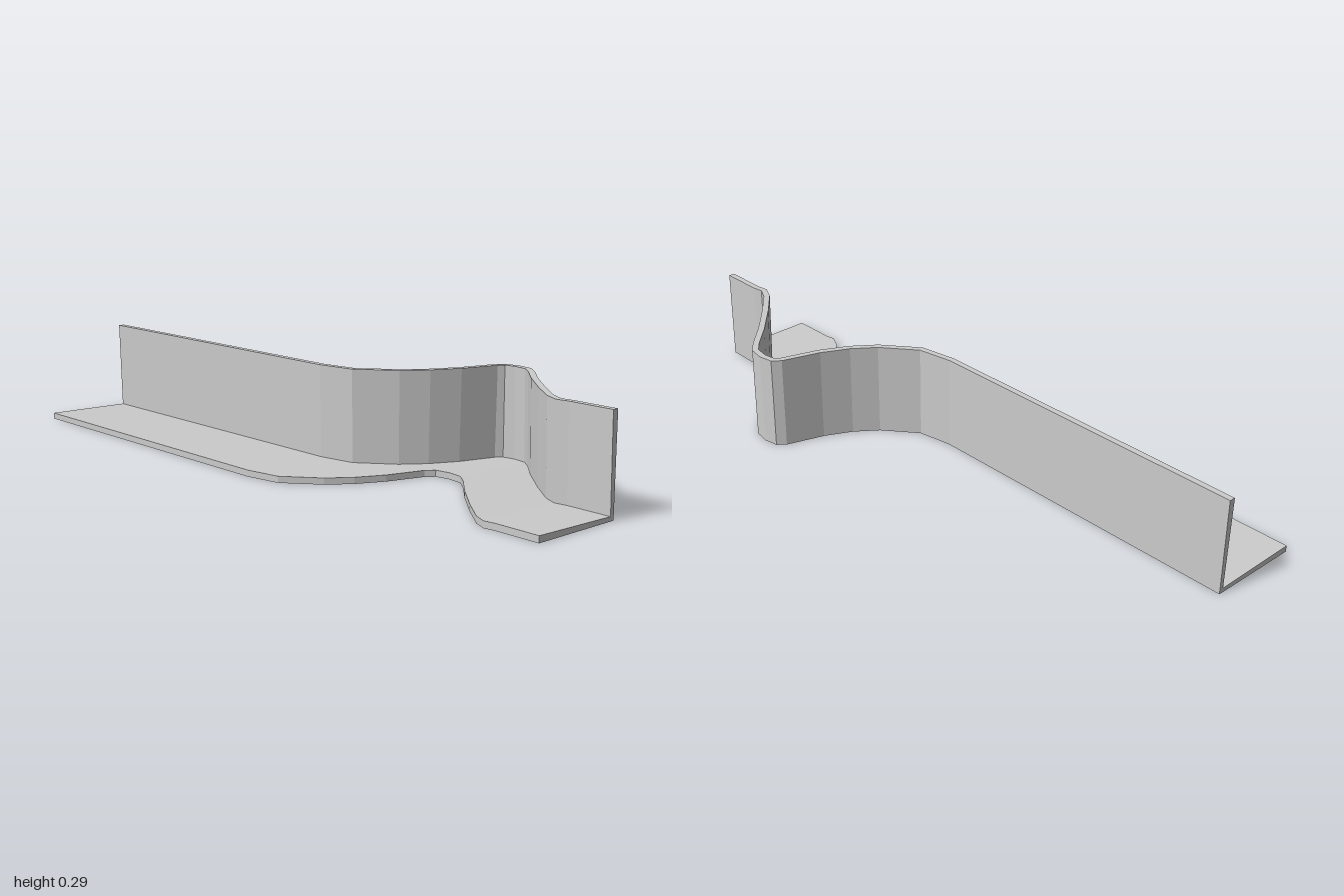
import * as THREE from 'three';

const HEIGHT = 0.289, DEPTH = 0.289;

// Back edge of the bar in plan: [x, z]
const PATH = [
  [-1, 0.057], [0.04, 0.057], [0.15, 0.038], [0.25, -0.044], [0.3, -0.112],
  [0.34, -0.195], [0.375, -0.312], [0.395, -0.337], [0.44, -0.345],
  [0.49, -0.337], [0.53, -0.305], [0.6, -0.235], [0.7, -0.147],
  [0.785, -0.079], [0.825, -0.06], [0.86, -0.065], [1, -0.065],
].map(([x, z]) => new THREE.Vector2(x, z));

// Mitred offset direction at a path point, pointing towards the front
function mitre(i) {
  const normal = (a, b) => {
    const t = b.clone().sub(a).normalize();
    return new THREE.Vector2(-t.y, t.x);
  };
  const last = PATH.length - 1;
  const n1 = normal(PATH[Math.max(i - 1, 0)], PATH[Math.max(i, 1)]);
  const n2 = normal(PATH[Math.min(i, last - 1)], PATH[Math.min(i + 1, last)]);
  return n1.clone().add(n2).divideScalar(1 + n1.dot(n2));
}

// L-shaped section; both legs taper slightly, the wall keeps its thickness round bends
function section(p, i) {
  const m = mitre(i);
  const wall = (t, y) => [p.x + m.x * t, y, p.y + m.y * t];
  return [
    [p.x, 0, p.y],
    [p.x, 0, p.y + DEPTH],
    [p.x, 0.019, p.y + DEPTH],
    wall(0.013, 0.013),
    wall(0.019, HEIGHT),
    [p.x, HEIGHT, p.y],
  ];
}

function sweep(rings) {
  const positions = [];
  const quad = (a, b, c, d) => positions.push(...a, ...b, ...c, ...a, ...c, ...d);
  for (let i = 0; i < rings.length - 1; i++) {
    const r = rings[i], s = rings[i + 1];
    for (let k = 0; k < r.length; k++) {
      const n = (k + 1) % r.length;
      quad(r[k], s[k], s[n], r[n]);
    }
  }
  // End caps, one quad per leg of the L
  const [a, b, c, d, e, f] = rings[0];
  quad(a, b, c, d);
  quad(a, d, e, f);
  const [A, B, C, D, E, F] = rings[rings.length - 1];
  quad(D, C, B, A);
  quad(F, E, D, A);
  const geometry = new THREE.BufferGeometry();
  geometry.setAttribute('position', new THREE.Float32BufferAttribute(positions, 3));
  geometry.computeVertexNormals();
  return geometry;
}

export function createModel() {
  const group = new THREE.Group();
  group.name = 'bentAngleBar';
  const material = new THREE.MeshStandardMaterial({ color: 0xcccccc, flatShading: true });
  const bar = new THREE.Mesh(sweep(PATH.map(section)), material);
  bar.name = 'angleProfile';
  group.add(bar);
  return group;
}
